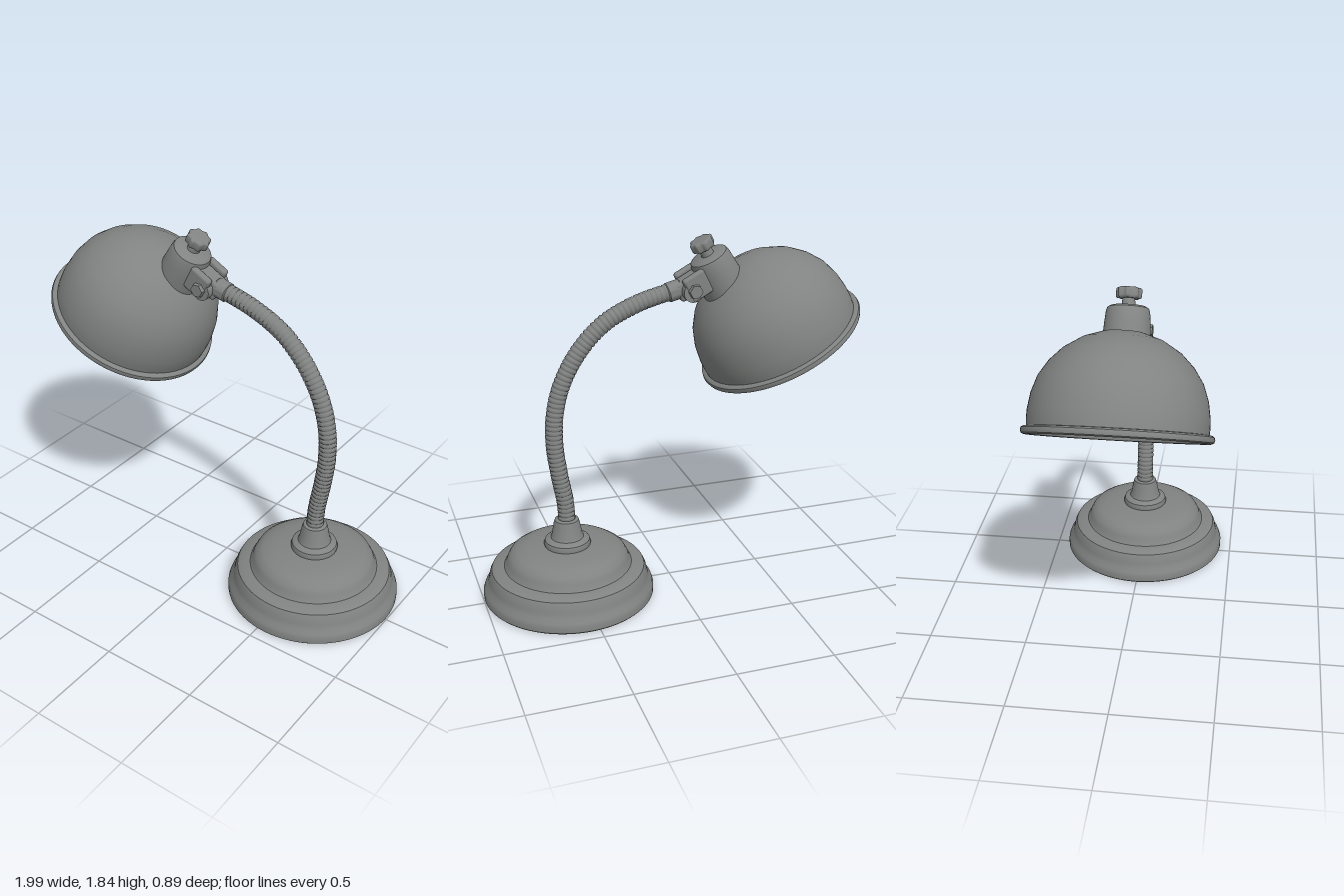
import * as THREE from 'three';
import { toCreasedNormals } from 'three/addons/utils/BufferGeometryUtils.js';
import { RoundedBoxGeometry } from 'three/addons/geometries/RoundedBoxGeometry.js';

const greyMetal = new THREE.MeshStandardMaterial({ color: 0x808381 });
greyMetal.name = 'greyMetal';

function add(parent, name, geometry, x = 0, y = 0, z = 0) {
  const mesh = new THREE.Mesh(geometry, greyMetal);
  mesh.name = name;
  mesh.position.set(x, y, z);
  parent.add(mesh);
  return mesh;
}

// Turned part from [radius, height] pairs, listed so that the outside faces out
function turned(profile, segments = 64, crease = 0.6) {
  const points = profile.map(([r, y]) => new THREE.Vector2(r, y));
  return toCreasedNormals(new THREE.LatheGeometry(points, segments), crease);
}

// Flexible tube whose radius swells at every coil
function ribbedTube(points, radius, ribs, depth) {
  const curve = new THREE.CatmullRomCurve3(points.map(([x, y]) => new THREE.Vector3(x, y, 0)));
  const rings = ribs * 5, sides = 18;
  const geometry = new THREE.TubeGeometry(curve, rings, radius, sides);
  const pos = geometry.attributes.position, normal = geometry.attributes.normal;
  for (let i = 0; i < pos.count; i++) {
    const ring = Math.floor(i / (sides + 1));
    const d = ring % 5 === 0 ? -depth : 0;
    pos.setXYZ(i, pos.getX(i) + normal.getX(i) * d, pos.getY(i) + normal.getY(i) * d, pos.getZ(i) + normal.getZ(i) * d);
  }
  geometry.computeVertexNormals();
  return geometry;
}

// Scalloped thumb knob, extruded upwards
function knobGeometry(radius, height) {
  const shape = new THREE.Shape();
  const n = 64;
  for (let i = 0; i < n; i++) {
    const a = (i / n) * Math.PI * 2;
    const r = radius * (0.93 + 0.07 * Math.cos(a * 8));
    if (i) shape.lineTo(r * Math.cos(a), r * Math.sin(a));
    else shape.moveTo(r * Math.cos(a), r * Math.sin(a));
  }
  const bevel = 0.01;
  const geometry = new THREE.ExtrudeGeometry(shape, {
    depth: height - 2 * bevel, bevelThickness: bevel, bevelSize: bevel, bevelOffset: -bevel, bevelSegments: 3,
  });
  geometry.translate(0, 0, bevel);
  geometry.rotateX(-Math.PI / 2);
  return toCreasedNormals(geometry, 0.7);
}

export function createModel() {
  const lamp = new THREE.Group();
  lamp.name = 'deskLamp';
  const baseX = 0.555;

  // Stepped round base
  add(lamp, 'base', turned([
    [0, 0], [0.435, 0], [0.443, 0.008], [0.443, 0.035], [0.436, 0.055], [0.42, 0.075], [0.413, 0.1],
    [0.406, 0.13], [0.395, 0.152], [0.375, 0.163], [0.33, 0.168], [0.322, 0.178], [0.313, 0.205],
    [0.298, 0.232], [0.267, 0.252], [0.21, 0.267], [0.12, 0.275], [0, 0.277],
  ], 72), baseX);

  // Collar and tapered ferrule holding the neck
  add(lamp, 'baseFerrule', turned([
    [0.118, 0.27], [0.121, 0.285], [0.115, 0.304], [0.1, 0.314], [0.085, 0.318], [0.079, 0.33],
    [0.067, 0.395], [0.061, 0.415], [0.05, 0.42], [0, 0.42],
  ], 40), baseX);

  // Gooseneck
  add(lamp, 'gooseneck', ribbedTube([
    [0.553, 0.39], [0.559, 0.513], [0.585, 0.674], [0.603, 0.834], [0.596, 0.995], [0.553, 1.155],
    [0.46, 1.316], [0.33, 1.444], [0.168, 1.524], [0.01, 1.568], [-0.04, 1.58],
  ], 0.044, 64, 0.006));

  // End collar of the neck
  const collar = add(lamp, 'neckCollar', turned([
    [0, -0.04], [0.042, -0.04], [0.049, -0.033], [0.049, 0.03], [0.044, 0.036], [0, 0.036],
  ], 32), -0.022, 1.574);
  collar.rotation.z = -Math.PI / 2 - 0.26;

  // Swivel joint: tongue between two cheeks, with a cross bolt
  const joint = new THREE.Group();
  joint.name = 'swivelJoint';
  joint.position.set(-0.115, 1.603, 0);
  joint.rotation.z = -0.492;
  lamp.add(joint);
  add(joint, 'tongue', new RoundedBoxGeometry(0.16, 0.1, 0.09, 3, 0.018), 0.01, 0);
  for (const side of [-1, 1]) {
    add(joint, 'cheek', new RoundedBoxGeometry(0.12, 0.13, 0.04, 3, 0.015), -0.012, 0, side * 0.066);
    const boss = add(joint, 'boltHead', new THREE.CylinderGeometry(0.034, 0.038, 0.03, 6), 0.015, -0.012, side * 0.09);
    boss.geometry = toCreasedNormals(boss.geometry, 0.5);
    boss.rotation.x = side * Math.PI / 2;
  }
  const barrel = add(joint, 'hingeBarrel', new THREE.CylinderGeometry(0.05, 0.05, 0.165, 28), 0.025, -0.015);
  barrel.rotation.x = Math.PI / 2;

  // Tilted head, its local y running along the shade axis
  const head = new THREE.Group();
  head.name = 'lampHead';
  head.position.set(-0.608, 1.257, 0);
  head.rotation.z = -0.492;
  lamp.add(head);

  // Hollow domed shade with rolled rim: inside first, then outside
  const dome = [
    [0.415, 0.04], [0.417, 0.075], [0.415, 0.115], [0.403, 0.19], [0.376, 0.268], [0.331, 0.338],
    [0.27, 0.4], [0.183, 0.455], [0.09, 0.486], [0, 0.496],
  ];
  const inside = dome.map(([r, y]) => [r * 0.955, y * 0.96]).reverse();
  add(head, 'shade', turned([
    ...inside, [0.4, 0.012], [0.408, 0.002], [0.425, 0], [0.437, 0.006], [0.441, 0.018],
    [0.438, 0.031], [0.428, 0.038], ...dome,
  ], 80, 0.7));

  // Socket housing, thumb screw stem and knob on one axis
  const socketU = 0.131;
  add(head, 'socketHousing', turned([
    [0.113, 0.39], [0.113, 0.47], [0.108, 0.54], [0.103, 0.595], [0.097, 0.613], [0.082, 0.622], [0, 0.624],
  ], 40), socketU);
  add(head, 'knobStem', new THREE.CylinderGeometry(0.028, 0.034, 0.06, 24), socketU, 0.642);
  add(head, 'knob', knobGeometry(0.061, 0.05), socketU, 0.658);

  return lamp;
}
